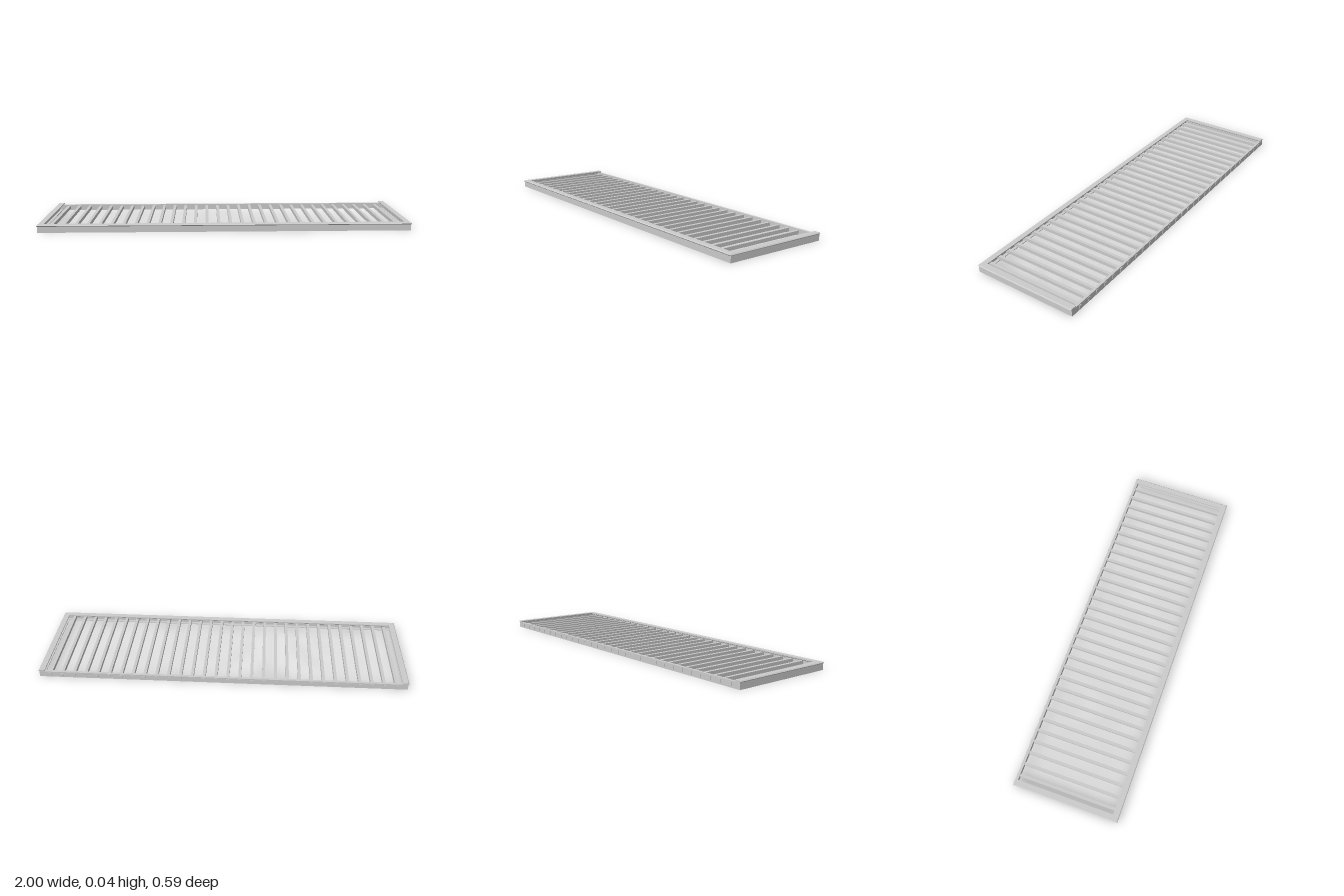
import * as THREE from 'three';

const material = new THREE.MeshStandardMaterial({ color: 0xcccccc, flatShading: true });
const HALF_X = 0.996, HALF_Z = 0.291;

// Inward-facing channel profile (u = distance inward, y = height) with a bevelled top lip.
const railProfile = [
  [0, 0], [0.022, 0], [0.022, 0.004], [0.005, 0.004], [0.005, 0.033], [0.027, 0.033],
  [0.03, 0.036], [0.03, 0.042], [0, 0.042], [-0.004, 0.0375], [0, 0.033],
];

// Straight rail along local z, with optional mitred ends.
function makeRail(name, length, mitreStart, mitreEnd) {
  const shape = new THREE.Shape(railProfile.map(([u, y]) => new THREE.Vector2(u, y)));
  const geometry = new THREE.ExtrudeGeometry(shape, { depth: length, bevelEnabled: false });
  geometry.translate(0, 0, -length / 2);
  const p = geometry.attributes.position;
  for (let i = 0; i < p.count; i++) {
    const u = p.getX(i), z = p.getZ(i);
    if (z > 0 && mitreEnd) p.setZ(i, z - u);
    if (z < 0 && mitreStart) p.setZ(i, z + u);
  }
  geometry.computeVertexNormals();
  const mesh = new THREE.Mesh(geometry, material);
  mesh.name = name;
  return mesh;
}

function makeBox(name, w, h, d, x, y, z) {
  const mesh = new THREE.Mesh(new THREE.BoxGeometry(w, h, d), material);
  mesh.name = name;
  mesh.position.set(x, y, z);
  return mesh;
}

export function createModel() {
  const model = new THREE.Group();
  model.name = 'slattedFrame';

  // Front and side channels, mitred at the front corners
  const front = makeRail('frontRail', HALF_X * 2, true, true);
  front.rotation.y = Math.PI / 2;
  front.position.z = HALF_Z;
  const right = makeRail('rightRail', HALF_Z * 2, false, true);
  right.position.x = -HALF_X;
  const left = makeRail('leftRail', HALF_Z * 2, true, false);
  left.rotation.y = Math.PI;
  left.position.x = HALF_X;
  model.add(front, right, left);

  // Lower back rail between the side channels
  model.add(makeBox('backRail', 1.982, 0.033, 0.014, 0, 0.0165, -0.284));

  // Cross slats, their ends passing through the back rail
  const slats = new THREE.Group();
  slats.name = 'slats';
  const count = 30;
  for (let i = 0; i < count; i++) {
    const x = -0.936 + (1.872 * i) / (count - 1);
    slats.add(makeBox('slat', 0.016, 0.019, 0.58, x, 0.0175, -0.004));
  }
  model.add(slats);
  return model;
}
